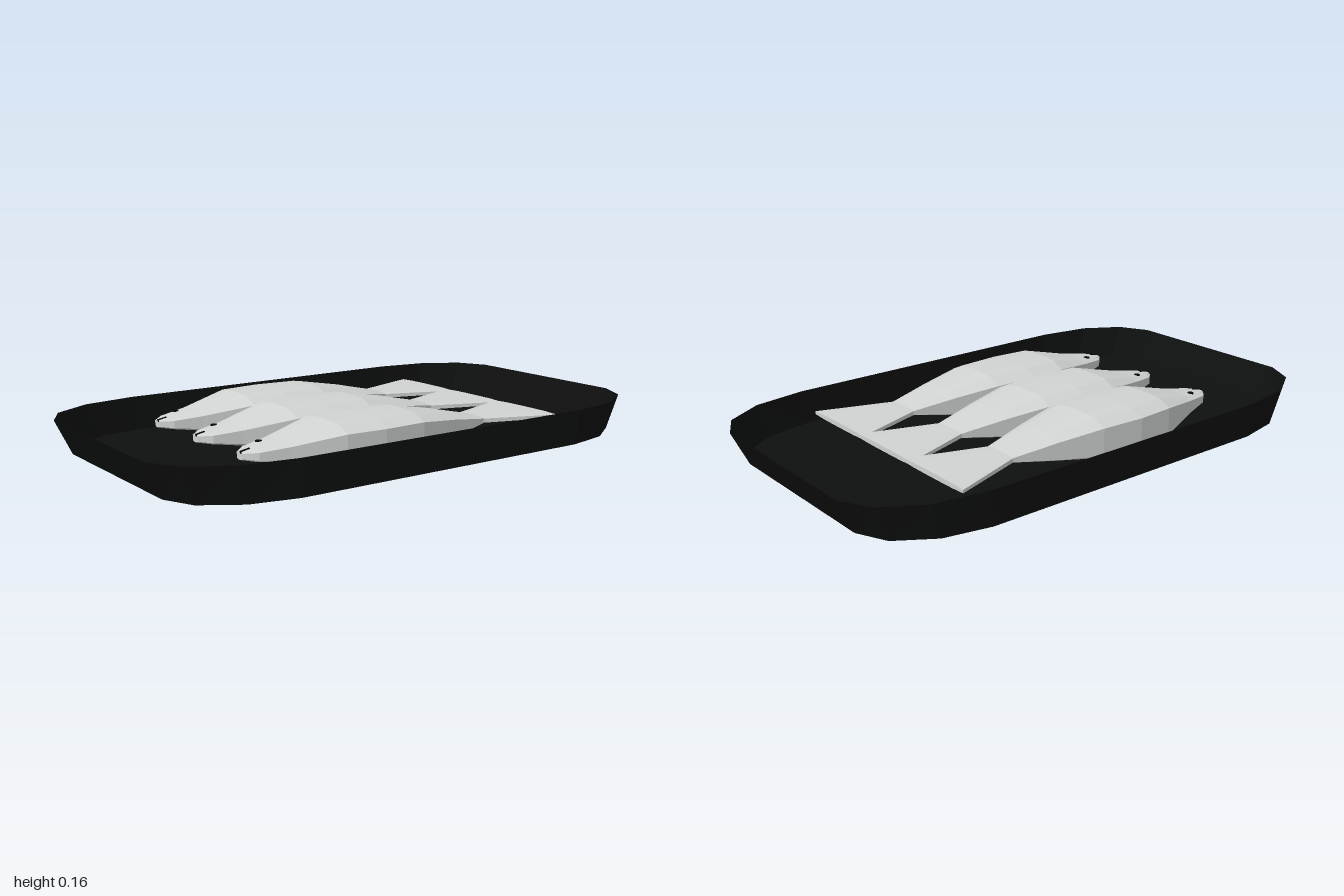
import * as THREE from 'three';

const trayBlack = new THREE.MeshStandardMaterial({ color: 0x0e0f0f, side: THREE.DoubleSide, flatShading: true });
trayBlack.name = 'trayBlack';
const fishSilver = new THREE.MeshStandardMaterial({ color: 0xd0d3d2, flatShading: true });
fishSilver.name = 'fishSilver';
const eyeBlack = new THREE.MeshStandardMaterial({ color: 0x050505 });
eyeBlack.name = 'eyeBlack';

// Joins equal-length rings of [x, y, z] points into a faceted skin
function loft(rings, capStart, capEnd) {
  const n = rings[0].length;
  const index = [];
  for (let i = 0; i < rings.length - 1; i++) {
    for (let j = 0; j < n; j++) {
      const k = (j + 1) % n;
      const a = i * n + j, b = a + n, c = i * n + k, d = c + n;
      index.push(a, b, c, b, d, c);
    }
  }
  const last = (rings.length - 1) * n;
  for (let j = 1; j < n - 1; j++) {
    if (capStart) index.push(0, j, j + 1);
    if (capEnd) index.push(last, last + j + 1, last + j);
  }
  const indexed = new THREE.BufferGeometry();
  indexed.setAttribute('position', new THREE.Float32BufferAttribute(rings.flat(2), 3));
  indexed.setIndex(index);
  const geometry = indexed.toNonIndexed();
  geometry.computeVertexNormals();
  return geometry;
}

function addMesh(parent, name, geometry, material) {
  const mesh = new THREE.Mesh(geometry, material);
  mesh.name = name;
  parent.add(mesh);
  return mesh;
}

// Closed outline mirrored from one corner, running +z, -x, -z, +x
function trayRing(corner, y) {
  const back = [...corner].reverse();
  return [
    ...back.map(([x, z]) => [x, y, z]),
    ...corner.map(([x, z]) => [-x, y, z]),
    ...back.map(([x, z]) => [-x, y, -z]),
    ...corner.map(([x, z]) => [x, y, -z]),
  ];
}

const FISH_Y = 0.081;

function createFish() {
  const fish = new THREE.Group();
  fish.name = 'fish';
  // Upper half of the cross-section as fractions of half width and height
  const upper = [[1, 0.64], [0.65, 0.93], [0.33, 1], [-0.33, 1], [-0.65, 0.93], [-1, 0.64]];
  const section = [...upper, ...[...upper].reverse().map(([w, h]) => [w, -h])];
  const ring = ([x, halfWidth, halfHeight]) => section.map(([w, h]) =>
    [x, Math.max(0.004, FISH_Y + h * halfHeight), w * halfWidth]);

  // Nose to tail root: x, half width, half height
  const body = [
    [-0.64, 0.018, 0.014], [-0.6, 0.055, 0.021], [-0.5, 0.084, 0.037], [-0.32, 0.142, 0.08],
    [-0.17, 0.155, 0.082], [0, 0.143, 0.08], [0.17, 0.106, 0.05], [0.34, 0.068, 0.012],
  ];
  addMesh(fish, 'body', loft(body.map(ring), true, true), fishSilver);
  addMesh(fish, 'tailFin', loft([[0.34, 0.068, 0.012], [0.615, 0.165, 0.009]].map(ring), true, true), fishSilver);

  // Eye and mouth lie as thin plates on the head
  const eye = addMesh(fish, 'eye', new THREE.CylinderGeometry(0.012, 0.012, 0.008, 8), eyeBlack);
  eye.position.set(-0.55, FISH_Y + 0.027, -0.033);
  const mouth = addMesh(fish, 'mouth', new THREE.BoxGeometry(0.035, 0.009, 0.007), eyeBlack);
  mouth.position.set(-0.625, FISH_Y + 0.015, 0.008);
  mouth.rotation.z = 0.18;
  return fish;
}

export function createModel() {
  const model = new THREE.Group();
  model.name = 'fishTray';

  // Open tray with flared sides
  const rim = [[0.6, 0.583], [0.8, 0.55], [0.94, 0.465], [1, 0.35]];
  const floor = [[0.59, 0.575], [0.76, 0.54], [0.89, 0.455], [0.94, 0.345]];
  addMesh(model, 'tray', loft([trayRing(floor, 0), trayRing(rim, 0.127)], true, false), trayBlack);

  // Three fish side by side
  for (const z of [-0.29, -0.004, 0.292]) {
    const fish = createFish();
    fish.position.z = z;
    model.add(fish);
  }
  return model;
}
